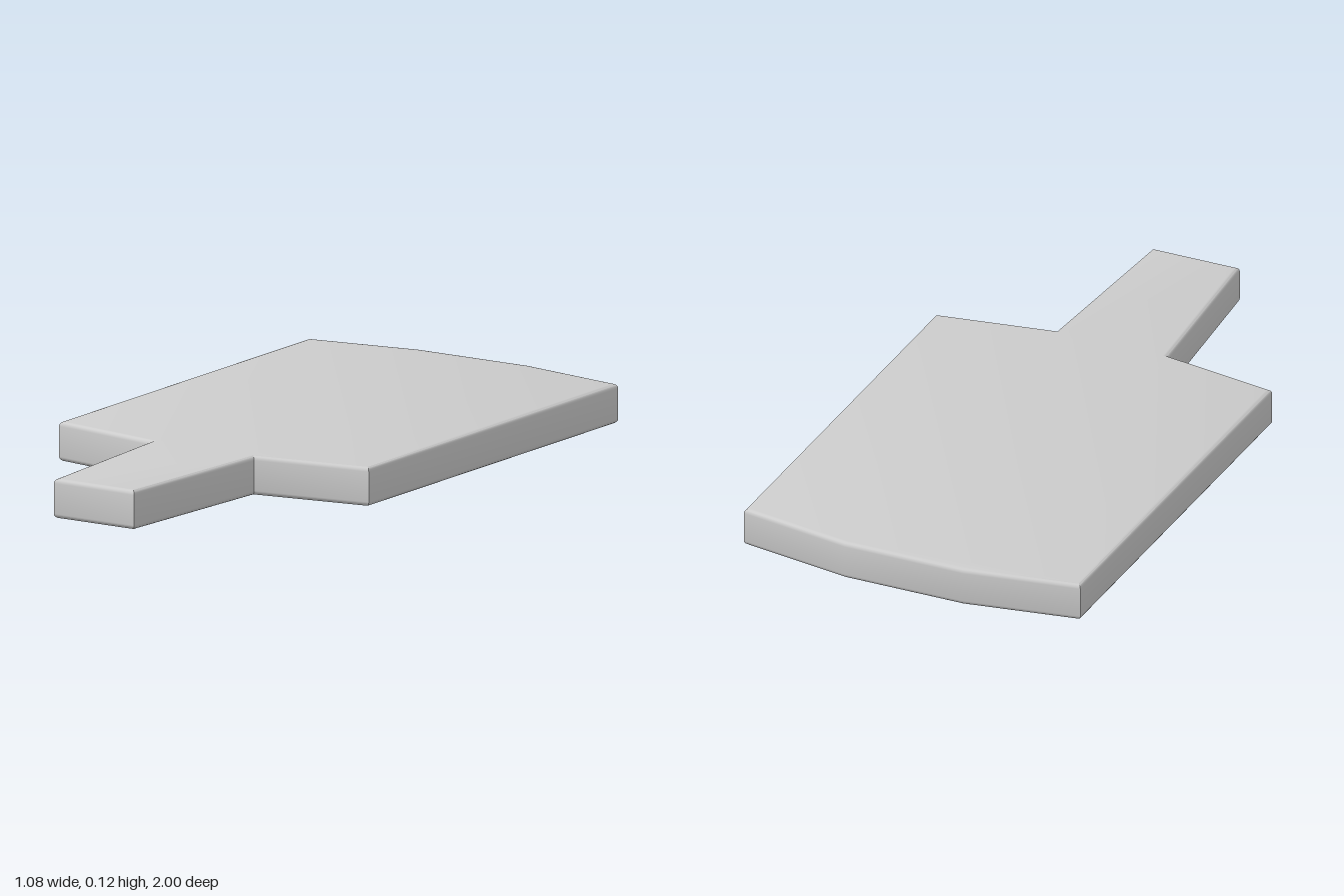
import * as THREE from 'three';
import { toCreasedNormals } from 'three/addons/utils/BufferGeometryUtils.js';

const HEIGHT = 0.118;
const BEVEL = 0.014;

export function createModel() {
  const group = new THREE.Group();
  group.name = 'paddle';

  // Half outline as (x, z), from the blade's back edge to the handle's end
  const half = [[0.19, -1], [0.54, -0.94], [0.54, 0.37], [0.18, 0.43], [0.14, 1]];
  const mirrored = half.map(([x, z]) => [-x, z]).reverse();
  const outline = new THREE.Shape([...half, ...mirrored].map(([x, z]) => new THREE.Vector2(x, z)));

  // Flat slab with rounded rims, blade and handle in one piece
  const slab = new THREE.ExtrudeGeometry(outline, {
    depth: HEIGHT - 2 * BEVEL,
    bevelEnabled: true,
    bevelThickness: BEVEL,
    bevelSize: BEVEL,
    bevelOffset: -BEVEL,
    bevelSegments: 4,
  });
  slab.rotateX(Math.PI / 2);
  slab.translate(0, HEIGHT - BEVEL, 0);

  const body = new THREE.Mesh(
    toCreasedNormals(slab, 0.6),
    new THREE.MeshStandardMaterial({ color: 0xcccccc })
  );
  body.name = 'bladeAndHandle';
  group.add(body);
  return group;
}
